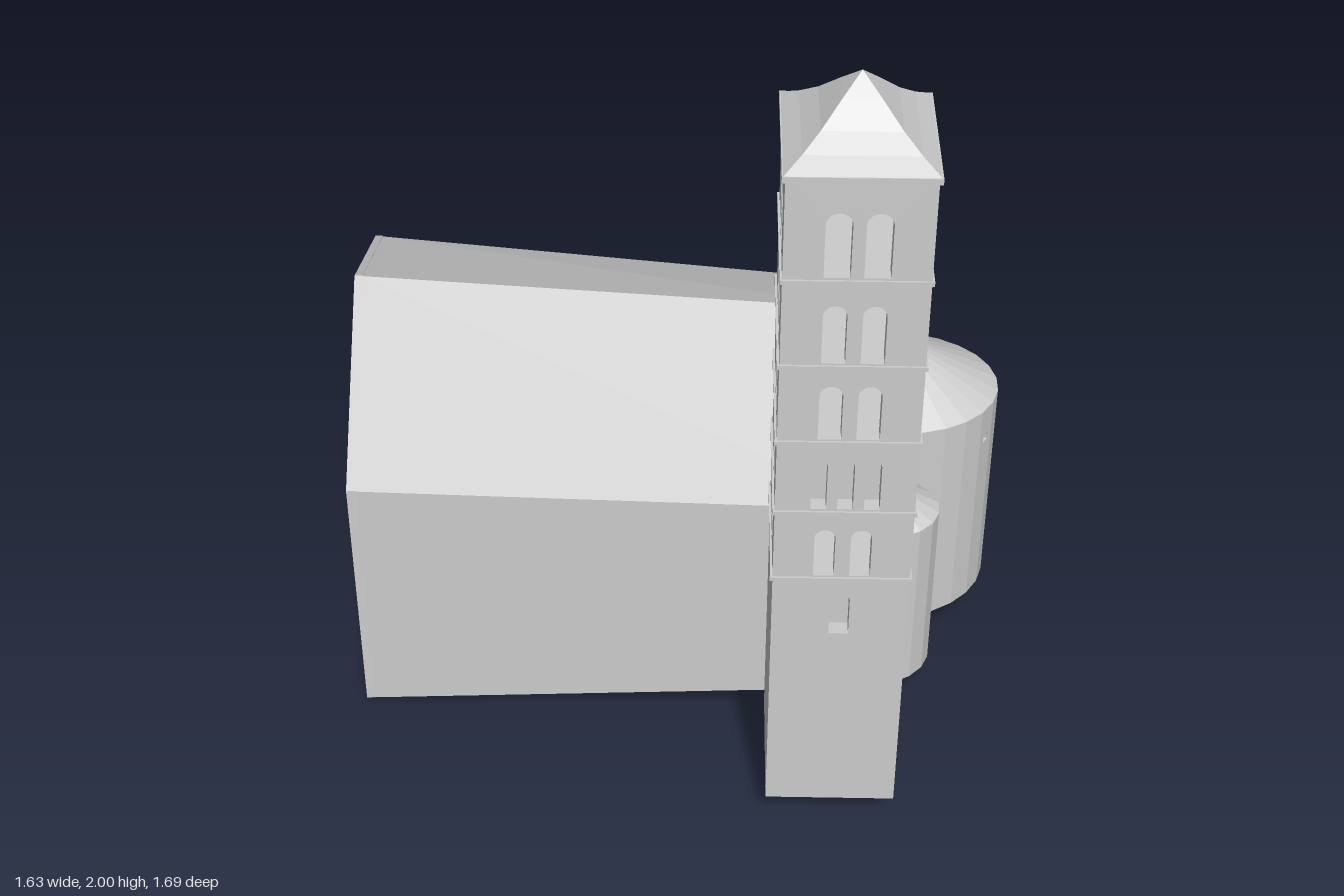
import * as THREE from 'three';

const stone = new THREE.MeshStandardMaterial({ color: 0xcccccc });
stone.name = 'stone';

// Flat-shaded mesh with a name
function part(name, geo, parent) {
  const g = geo.index ? geo.toNonIndexed() : geo;
  g.computeVertexNormals();
  const m = new THREE.Mesh(g, stone);
  m.name = name;
  parent.add(m);
  return m;
}

// Triangles given as triples of [x, y, z] points
function faces(tris) {
  const g = new THREE.BufferGeometry();
  g.setAttribute('position', new THREE.Float32BufferAttribute(tris.flat(2), 3));
  return g;
}

// Round-headed outline, used for openings and the bellcote
function arch(cx, y0, y1, w, Type = THREE.Path) {
  const r = w / 2, p = new Type();
  p.moveTo(cx - r, y0);
  p.lineTo(cx + r, y0);
  p.absarc(cx, y1 - r, r, 0, Math.PI, false);
  p.lineTo(cx - r, y0);
  return p;
}

function polygon(pts) {
  return new THREE.Shape(pts.map(p => new THREE.Vector2(...p)));
}

// Upright slab running from p0 to p1 (each [x, z]), thickened inwards
function panel(name, p0, p1, shape, holes, t, parent) {
  shape.holes.push(...holes);
  const g = new THREE.ExtrudeGeometry(shape, { depth: t, bevelEnabled: false, curveSegments: 8 });
  g.translate(0, 0, -t);
  const X = new THREE.Vector3(p1[0] - p0[0], 0, p1[1] - p0[1]).normalize();
  const Y = new THREE.Vector3(0, 1, 0);
  const M = new THREE.Matrix4().makeBasis(X, Y, new THREE.Vector3().crossVectors(X, Y));
  M.setPosition(p0[0], 0, p0[1]);
  g.applyMatrix4(M);
  return part(name, g, parent);
}

const EAST = [0.987, 0.16];           // direction the apses face
const ground = x => 0.12 + 0.065 * Math.max(0, x - 0.5);

function buildNave(root) {
  const nave = new THREE.Group();
  nave.name = 'nave';
  root.add(nave);
  // north base, north eave, ridge, south eave, south base
  const W = [[-0.724, 0, -0.844], [-0.724, 0.705, -0.844], [-0.771, 0.944, -0.302], [-0.818, 0.692, 0.241], [-0.818, 0.01, 0.241]];
  const E = [[0.59, 0.12, -0.458], [0.59, 0.705, -0.458], [0.515, 0.945, 0.008], [0.439, 0.7, 0.475], [0.439, 0.12, 0.475]];
  const t = 0.02;
  const I = W.map((p, i) => p.map((v, k) => v + (E[i][k] - v) * t / 1.32));
  const tris = [];
  for (let i = 0; i < 5; i++) {
    const j = (i + 1) % 5;
    tris.push([I[i], I[j], E[j]], [I[i], E[j], E[i]]);
  }
  for (let i = 1; i < 4; i++) tris.push([E[0], E[i], E[i + 1]], [I[0], I[i + 1], I[i]]);
  part('naveBody', faces(tris), nave);

  // West front with door and windows
  const L = 1.089;
  panel('westFront', [W[0][0], W[0][2]], [W[3][0], W[3][2]],
    polygon([[0, 0], [L, 0.01], [L, 0.692], [L / 2, 0.944], [0, 0.705]]),
    [arch(L / 2, 0.18, 0.37, 0.115), arch(L / 2, 0.605, 0.73, 0.05),
      arch(0.2, 0.59, 0.67, 0.035), arch(0.87, 0.56, 0.64, 0.035)], t, nave);

  // Bellcote on the east end of the ridge
  const c = [0.497 + EAST[0] * 0.022, 0.005 + EAST[1] * 0.022];
  const side = s => [c[0] - EAST[1] * 0.05 * s, c[1] + EAST[0] * 0.05 * s];
  panel('bellcote', side(1), side(-1), arch(0.05, 0.88, 1.022, 0.1, THREE.Shape),
    [arch(0.05, 0.95, 1.002, 0.036)], 0.045, nave);
}

// Half-round apse made of flat wall facets; openings maps a facet to [y0, y1, width]
function buildApse(root, name, [cx, cz], fwd, lat, back, eave, top, n, openings) {
  const apse = new THREE.Group();
  apse.name = name;
  root.add(apse);
  const at = (f, l) => [cx + f * EAST[0] - l * EAST[1], cz + f * EAST[1] + l * EAST[0]];
  const ring = k => {
    const pts = [at(-back, lat * k)];
    for (let i = 0; i <= n; i++) {
      const a = Math.PI / 2 - Math.PI * i / n;
      pts.push(at(fwd * k * Math.cos(a), lat * k * Math.sin(a)));
    }
    pts.push(at(-back, -lat * k));
    return pts;
  };

  // Wall facets
  const pts = ring(1), mid = 1 + (n - 1) / 2;
  for (let i = 0; i < pts.length - 1; i++) {
    const [a, b] = [pts[i], pts[i + 1]];
    const w = Math.hypot(b[0] - a[0], b[1] - a[1]);
    const o = openings[i - mid];
    panel('apseWall', a, b, polygon([[0, ground(a[0])], [w, ground(b[0])], [w, eave], [0, eave]]),
      o ? [arch(w / 2, ...o)] : [], 0.02, apse);
  }

  // Solid core behind the openings
  const core = new THREE.ExtrudeGeometry(polygon(ring(0.92).map(p => [p[0], -p[1]])),
    { depth: eave - 0.128, bevelEnabled: false });
  core.rotateX(-Math.PI / 2).translate(0, 0.128, 0);
  part('apseCore', core, apse);

  // Half-cone roof running back into the east wall
  const rim = pts.map(p => [p[0], eave, p[1]]);
  const tip = [cx, top, cz], b = at(-back, 0), tail = [b[0], top, b[1]];
  const tris = [];
  for (let i = 0; i < rim.length - 1; i++) tris.push([rim[i], rim[i + 1], tip]);
  tris.push([rim[0], tip, tail], [rim[rim.length - 1], tail, tip]);
  part('apseRoof', faces(tris), apse);
}

function buildTower(root) {
  const tower = new THREE.Group();
  tower.name = 'tower';
  tower.position.set(0.297, 0, 0.656);
  tower.rotation.y = -0.145;
  root.add(tower);
  const w = 0.304, d = 0.325, t = 0.035, y0 = 0.11, y1 = 1.845;

  // [sill, head, width, offsets from the middle of the wall]
  const rows = [
    [1.61, 1.765, 0.055, [-0.041, 0.041]], [1.395, 1.54, 0.05, [-0.041, 0.041]],
    [1.195, 1.335, 0.05, [-0.041, 0.041]], [1.003, 1.137, 0.034, [-0.058, 0, 0.058]],
    [0.812, 0.943, 0.046, [-0.04, 0.04]], [0.64, 0.76, 0.044, [0]]];
  const wall = (p0, p1) => {
    const L = Math.hypot(p1[0] - p0[0], p1[1] - p0[1]);
    const holes = rows.flatMap(([a, b, s, xs]) => xs.map(x => arch(L / 2 + x, a, b, s)));
    panel('towerWall', p0, p1, polygon([[0, y0], [L, y0], [L, y1], [0, y1]]), holes, t, tower);
  };
  const hx = w / 2, hz = d / 2, iz = hz - t;
  wall([-hx, hz], [hx, hz]);
  wall([hx, iz], [hx, -iz]);
  wall([hx, -hz], [-hx, -hz]);
  wall([-hx, -iz], [-hx, iz]);

  const block = (name, sx, sz, a, b) => {
    const g = new THREE.BoxGeometry(sx, b - a, sz).translate(0, (a + b) / 2, 0);
    part(name, g, tower);
  };
  // Solid storeys behind the blind windows, and the top ceiling
  for (const [a, b] of [[y0, 0.8], [0.985, 1.16], [1.8, y1]])
    block('towerCore', w - 2 * t, d - 2 * t, a, b);
  // String courses
  for (const y of [0.803, 0.993, 1.186, 1.386, 1.6])
    block('stringCourse', w + 0.01, d + 0.01, y - 0.005, y + 0.005);
  block('cornice', w + 0.014, d + 0.014, 1.838, 1.852);

  // Four-sided roof with sagging slopes
  const profile = [[1, 1.85], [0.75, 1.878], [0.52, 1.91], [0.25, 1.958], [0, 2]]
    .map(([r, y]) => new THREE.Vector2(r * Math.SQRT1_2, y));
  const roof = new THREE.LatheGeometry(profile, 4, Math.PI / 4);
  roof.scale(w + 0.014, 1, d + 0.014);
  part('towerRoof', roof, tower);
}

export function createModel() {
  const root = new THREE.Group();
  root.name = 'church';
  buildNave(root);
  buildApse(root, 'mainApse', [0.556, 0.022], 0.262, 0.213, 0.08, 0.73, 0.872, 13,
    { 0: [0.45, 0.612, 0.036], 3: [0.625, 0.648, 0.0225], [-2]: [0.625, 0.648, 0.0225] });
  buildApse(root, 'southApse', [0.466, 0.345], 0.143, 0.119, 0.06, 0.6, 0.687, 9,
    { 0: [0.42, 0.527, 0.028] });
  buildApse(root, 'northApse', [0.56, -0.32], 0.135, 0.133, 0.03, 0.6, 0.727, 9,
    { 0: [0.43, 0.54, 0.028] });
  buildTower(root);

  // Low passage between tower and nave
  const link = part('passage', new THREE.BoxGeometry(0.12, 0.38, 0.12), root);
  link.position.set(0.33, 0.3, 0.455);
  link.rotation.y = -0.145;
  return root;
}
